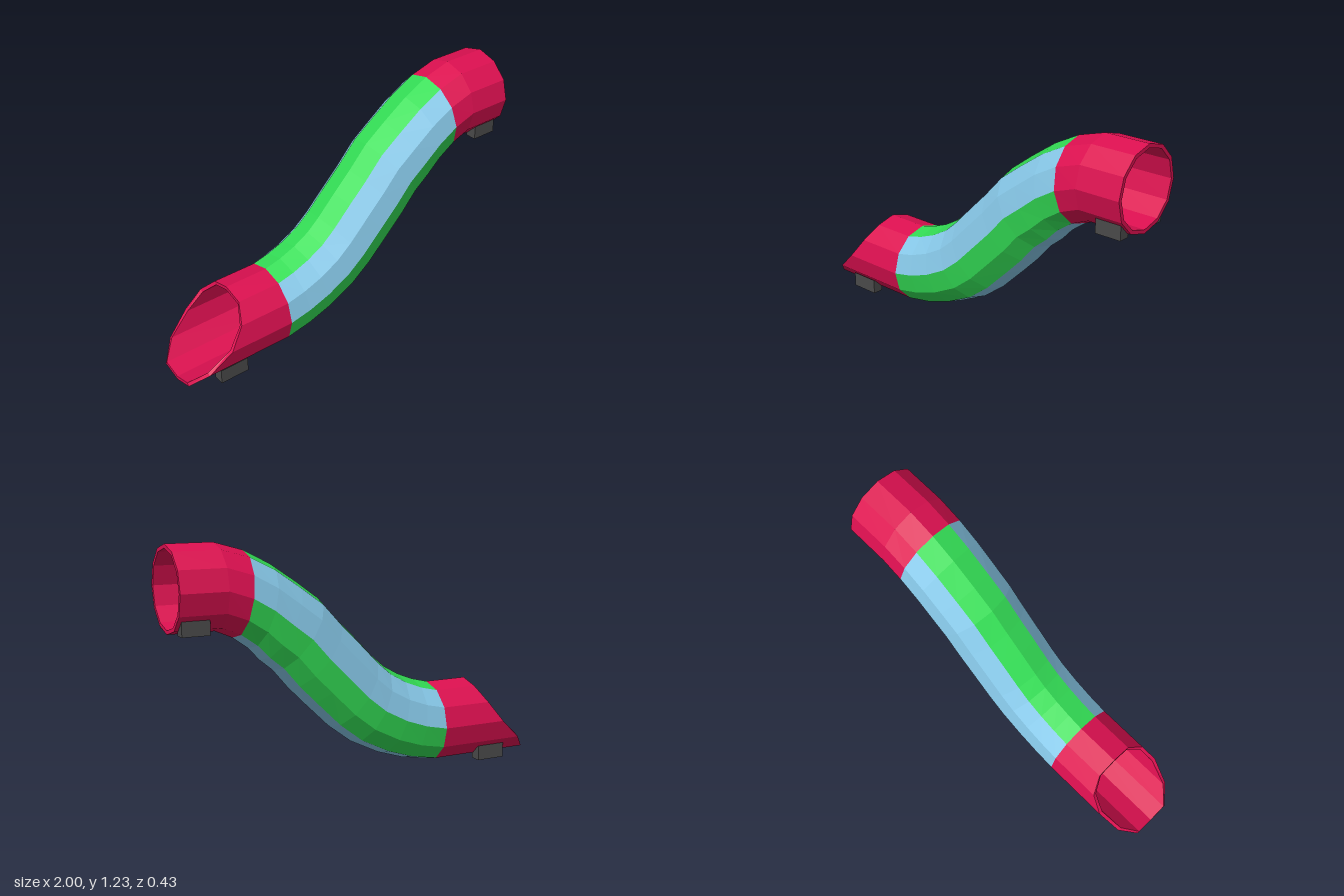
import * as THREE from 'three';

const SIDES = 12, OUTER = 0.215, INNER = 0.195;
const RED = 0xdc1050, GREEN = 0x33dd55, BLUE = 0x87c8e8, GREY = 0x4a4a4a;

// Centre line of the bent tube: x, y, tilt in degrees
const path = [
  [-0.44, 0.218, 0], [-0.32, 0.243, 8], [-0.2, 0.285, 16], [-0.075, 0.35, 27],
  [0.025, 0.43, 36], [0.145, 0.55, 42], [0.24, 0.645, 40], [0.335, 0.752, 36],
  [0.43, 0.825, 28], [0.53, 0.905, 16], [0.64, 0.97, 8],
];

// Twelve points around the centre line, starting at the top and turning towards +z
function ring([x, y, tilt], radius) {
  const t = THREE.MathUtils.degToRad(tilt);
  return Array.from({ length: SIDES }, (_, k) => {
    const a = (k / SIDES) * Math.PI * 2, up = radius * Math.cos(a);
    return new THREE.Vector3(x - Math.sin(t) * up, y + Math.cos(t) * up, radius * Math.sin(a));
  });
}

// Join consecutive rings with quads, keeping only the chosen sides
function loft(rings, keep = () => true) {
  const pos = [];
  for (let i = 0; i < rings.length - 1; i++) {
    for (let k = 0; k < SIDES; k++) {
      if (!keep(k)) continue;
      const n = (k + 1) % SIDES;
      const a = rings[i][k], b = rings[i + 1][k], c = rings[i + 1][n], d = rings[i][n];
      for (const p of [a, d, c, a, c, b]) pos.push(p.x, p.y, p.z);
    }
  }
  const geo = new THREE.BufferGeometry();
  geo.setAttribute('position', new THREE.Float32BufferAttribute(pos, 3));
  geo.computeVertexNormals();
  return geo;
}

export function createModel() {
  const group = new THREE.Group();
  const add = (name, geo, color) => {
    const mesh = new THREE.Mesh(geo, new THREE.MeshStandardMaterial({ color, flatShading: true }));
    mesh.name = name;
    group.add(mesh);
    return mesh;
  };

  // Bent tube: six stripes of two sides each, with a plain lining
  const outerRings = path.map((p) => ring(p, OUTER));
  const innerRings = path.map((p) => ring(p, INNER));
  const isGreen = (k) => Math.floor(((k + 1) % SIDES) / 2) % 2 === 0;
  add('greenStripes', loft(outerRings, isGreen), GREEN);
  add('blueStripes', loft(outerRings, (k) => !isGreen(k)), BLUE);
  add('tubeLining', loft([...innerRings].reverse()), BLUE);

  // Lower exit, cut back at an angle towards the top
  const cutX = [-0.68, -0.68, -0.72, -0.8, -0.92, -1, -1];
  const cutRing = (radius) => {
    const points = ring([-1, 0.218, 0], radius);
    points.forEach((p, k) => { p.x = cutX[Math.min(k, SIDES - k)]; });
    return points;
  };
  add('exitChute', loft([innerRings[0], cutRing(INNER), cutRing(OUTER), outerRings[0]]), RED);

  // Upper entrance
  const last = path.length - 1;
  const bend = [0.76, 1.011, 0], mouth = [1, 1.011, 0];
  add('entrance', loft([
    outerRings[last], ring(bend, OUTER), ring(mouth, OUTER),
    ring(mouth, INNER), ring(bend, INNER), innerRings[last],
  ]), RED);

  // Feet: blocks with a top sloped to sit within the tube wall
  const addFoot = (name, x, y, length, side) => {
    const shape = new THREE.Shape([
      [0.1, 0], [0.16, 0], [0.16, 0.08], [0.1, 0.04],
    ].map(([z, h]) => new THREE.Vector2(side * z, h)));
    const geo = new THREE.ExtrudeGeometry(shape, { depth: length, bevelEnabled: false });
    geo.translate(0, 0, -length / 2).rotateY(-Math.PI / 2);
    add(name, geo, GREY).position.set(x, y, 0);
  };
  for (const side of [-1, 1]) {
    const label = side > 0 ? 'Front' : 'Back';
    addFoot('lowerFoot' + label, -0.76, 0, 0.16, side);
    addFoot('upperFoot' + label, 0.91, 0.803, 0.14, side);
  }
  return group;
}
